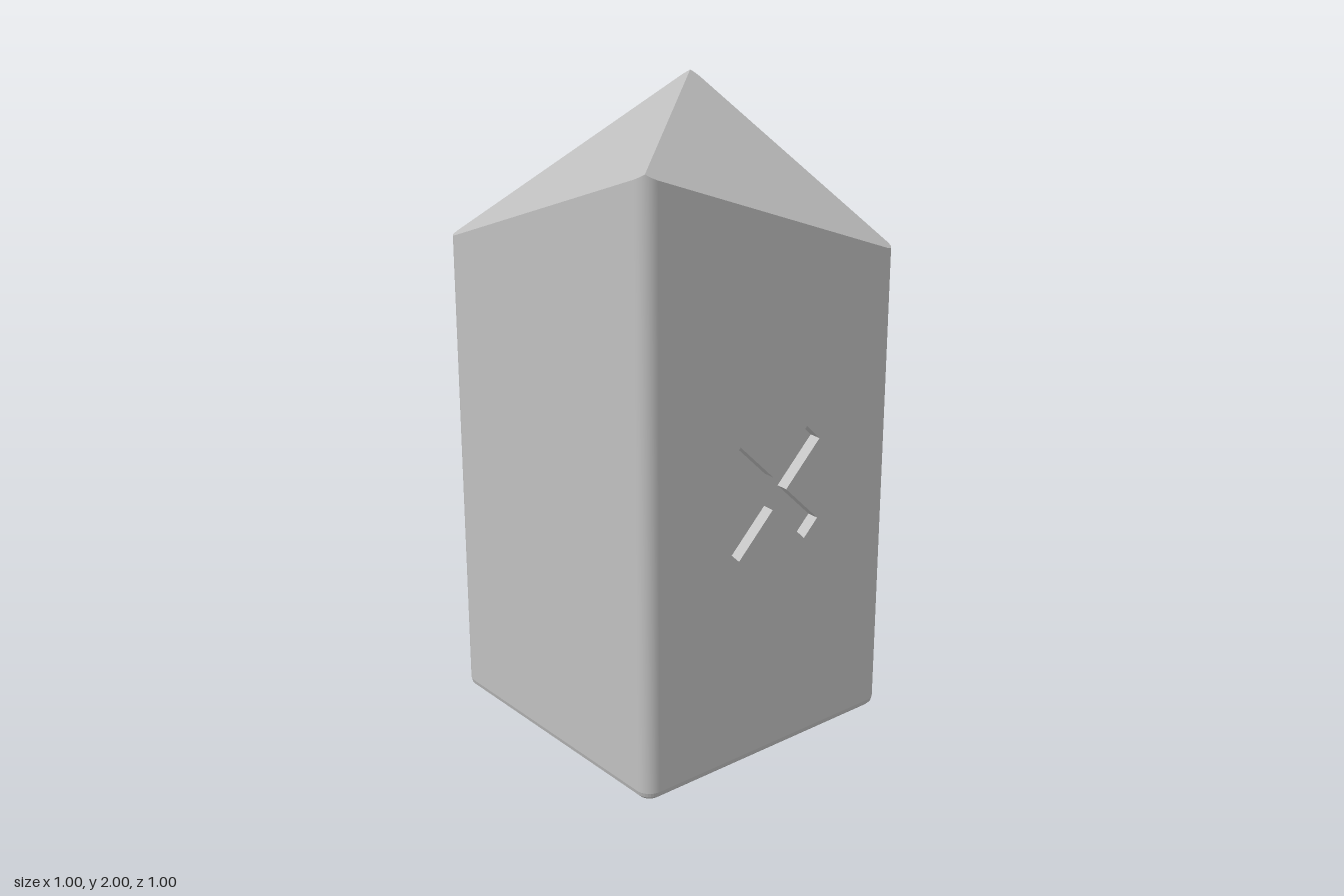
import * as THREE from 'three';

const HALF = 0.5, RADIUS = 0.05, FILLET = 0.03, STEPS = 8;
const topY = (x, z) => 2 - 0.405 * Math.abs(x + z); // ridge along one diagonal

// Rounded square in plan, with outward normals
function ring(inset) {
  const pts = [], c = HALF - RADIUS, r = RADIUS - inset;
  for (let q = 0; q < 4; q++) {
    const cx = q === 0 || q === 3 ? c : -c, cz = q < 2 ? c : -c;
    for (let i = 0; i <= STEPS; i++) {
      const a = (q + i / STEPS) * Math.PI / 2, nx = Math.cos(a), nz = Math.sin(a);
      pts.push({ x: cx + r * nx, z: cz + r * nz, nx, nz });
    }
  }
  return pts;
}

// Triangles from a flat list of positions; flat normals unless given
function triangles(pos, normals) {
  const g = new THREE.BufferGeometry();
  g.setAttribute('position', new THREE.Float32BufferAttribute(pos, 3));
  if (normals) g.setAttribute('normal', new THREE.Float32BufferAttribute(normals, 3));
  else g.computeVertexNormals();
  return g;
}

const quad = (a, b, c, d) => [...a, ...b, ...c, ...a, ...c, ...d];
const vectors = (list) => list.map(([x, y]) => new THREE.Vector2(x, y));

export function createModel() {
  const model = new THREE.Group();
  const grey = new THREE.MeshStandardMaterial({ color: 0xc0c0c0 });
  const add = (parent, name, geometry) => {
    const mesh = new THREE.Mesh(geometry, grey);
    mesh.name = name;
    parent.add(mesh);
    return mesh;
  };

  // Panel facing +z with sunken cut-outs: face, pocket walls and pocket floors
  function panel(name, outline, cutouts, depth) {
    const group = new THREE.Group();
    group.name = name;
    const shape = new THREE.Shape(vectors(outline));
    cutouts.forEach((cut) => shape.holes.push(new THREE.Path(vectors(cut))));
    add(group, name + 'Face', new THREE.ShapeGeometry(shape));
    for (const cut of cutouts) {
      const pts = vectors(cut);
      if (THREE.ShapeUtils.isClockWise(pts)) pts.reverse();
      const walls = [];
      pts.forEach((a, i) => {
        const b = pts[(i + 1) % pts.length];
        walls.push(...quad([a.x, a.y, -depth], [a.x, a.y, 0], [b.x, b.y, 0], [b.x, b.y, -depth]));
      });
      add(group, 'grooveWalls', triangles(walls));
      add(group, 'grooveFloor', new THREE.ShapeGeometry(new THREE.Shape(pts)).translate(0, 0, -depth));
    }
    model.add(group);
    return group;
  }

  // Smooth side walls and rounded corners, leaving the front and back flats open
  const outer = ring(0), count = outer.length;
  const pos = [], nor = [];
  outer.forEach((a, i) => {
    const b = outer[(i + 1) % count];
    if (Math.abs(a.nz) > 0.999 && Math.abs(b.nz) > 0.999) return;
    pos.push(...quad([a.x, FILLET, a.z], [a.x, topY(a.x, a.z), a.z],
      [b.x, topY(b.x, b.z), b.z], [b.x, FILLET, b.z]));
    const na = [a.nx, 0, a.nz], nb = [b.nx, 0, b.nz];
    nor.push(...quad(na, na, nb, nb));
  });
  add(model, 'sideWalls', triangles(pos, nor));

  // Front and back panels with a diagonal cross groove
  const c = HALF - RADIUS;
  const w = 0.0385, l = 0.23, s = Math.SQRT1_2;
  const cross = [[w, w], [l, w], [l, -w], [w, -w], [w, -l], [-w, -l],
    [-w, -w], [-l, -w], [-l, w], [-w, w], [-w, l], [w, l]]
    .map(([x, y]) => [(x - y) * s, 0.915 + (x + y) * s]);
  const face = [[-c, FILLET], [c, FILLET], [c, topY(c, HALF)], [-c, topY(-c, HALF)]];
  panel('frontPanel', face, [cross], 0.04).position.z = HALF;
  const back = panel('backPanel', face, [cross], 0.04);
  back.position.z = -HALF;
  back.rotation.y = Math.PI;

  // Two roof slopes falling away from the diagonal ridge
  ['frontSlope', 'backSlope'].forEach((name, k) => {
    const side = k ? -1 : 1;
    const start = k ? STEPS + 1 + STEPS / 2 : 3 * (STEPS + 1) + STEPS / 2;
    const pts = [];
    for (let i = 0; i <= count / 2; i++) {
      const p = outer[(start + i) % count];
      pts.push([p.x, 2 - 0.405 * Math.max(0, side * (p.x + p.z)), p.z]);
    }
    const tri = [];
    for (let i = 1; i < pts.length - 1; i++) tri.push(...pts[0], ...pts[i + 1], ...pts[i]);
    add(model, name, triangles(tri));
  });

  // Faceted fillet around the base
  const profile = [[0.03, 0], [0.015, 0.004], [0.004, 0.015], [0, FILLET]];
  const fillet = [];
  for (let j = 0; j < profile.length - 1; j++) {
    const [lo, hi] = [ring(profile[j][0]), ring(profile[j + 1][0])];
    const [y0, y1] = [profile[j][1], profile[j + 1][1]];
    for (let i = 0; i < count; i++) {
      const n = (i + 1) % count;
      fillet.push(...quad([lo[i].x, y0, lo[i].z], [hi[i].x, y1, hi[i].z],
        [hi[n].x, y1, hi[n].z], [lo[n].x, y0, lo[n].z]));
    }
  }
  add(model, 'baseFillet', triangles(fillet));

  // Underside with two chevron grooves and a bar groove
  const h = 0.185;
  const chevron = (tip) => [[-tip, 0], [-tip + 0.18, h], [-tip + 0.265, h],
    [-tip + 0.085, 0], [-tip + 0.265, -h], [-tip + 0.18, -h]];
  const bar = [[-0.315, -h], [-0.24, -h], [-0.24, h], [-0.315, h]];
  const base = ring(FILLET).map((p) => [p.x, p.z]);
  panel('underside', base, [chevron(0.185), chevron(-0.02), bar], 0.035).rotation.x = Math.PI / 2;

  return model;
}
